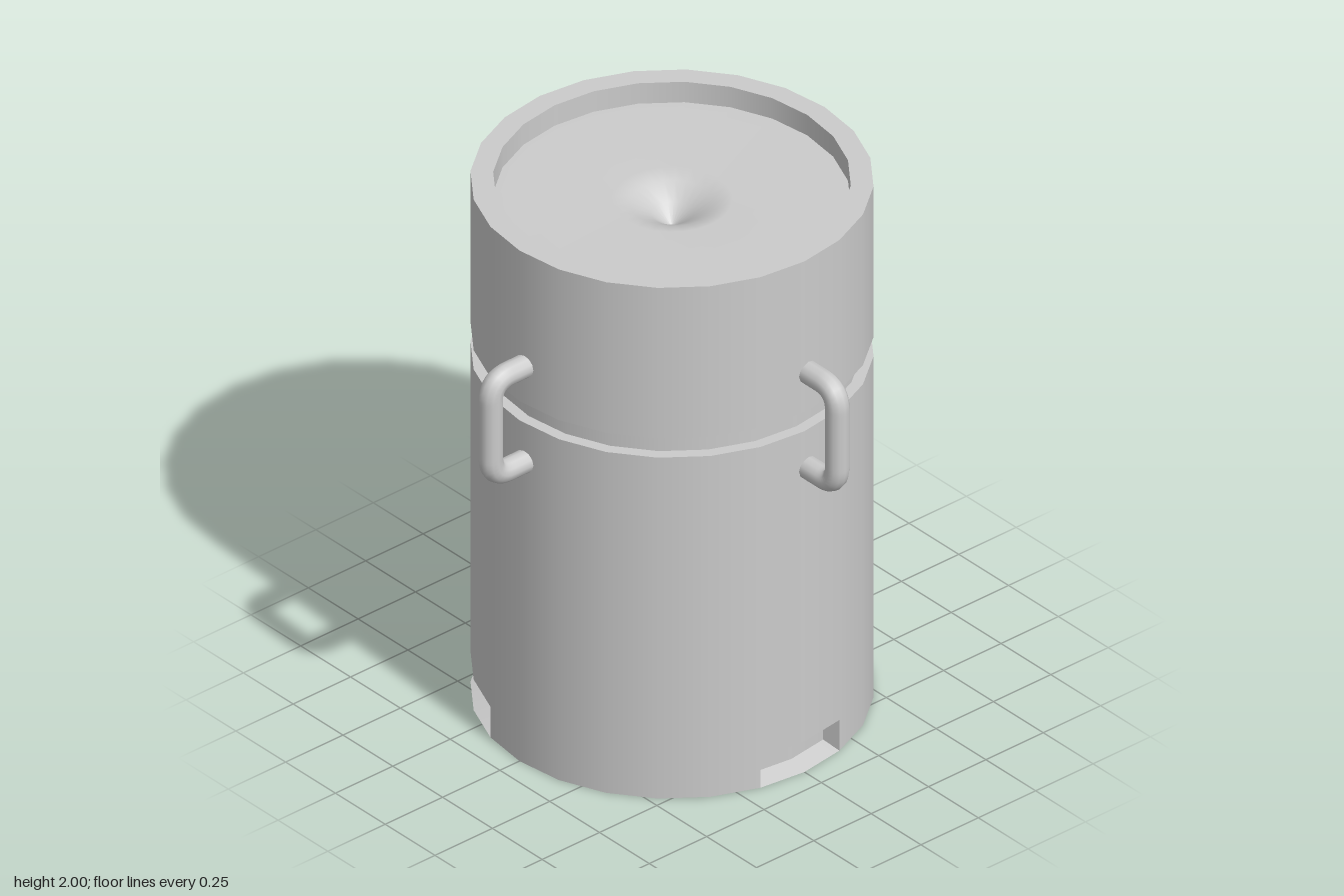
import * as THREE from 'three';
import { mergeGeometries } from 'three/addons/utils/BufferGeometryUtils.js';

const SIDES = 24;
const STEP = (Math.PI * 2) / SIDES;
const R = 0.665; // outer wall
const RIM = 0.59; // inside of the end rims
const NOTCH_R = 0.6;
const NOTCH_H = 0.12;

// Surface of revolution over some of the sides, smooth along the profile
function band(points, first = 0, count = SIDES) {
  const profile = points.map(([r, y]) => new THREE.Vector2(r, y));
  return new THREE.LatheGeometry(profile, count, first * STEP, count * STEP);
}

// Same, but with a sharp edge at every profile point
function sharpBands(points, first, count) {
  return points.slice(1).map((p, i) => band([points[i], p], first, count));
}

export function createModel() {
  const model = new THREE.Group();
  const material = new THREE.MeshStandardMaterial({ color: 0xcccccc });
  const thin = new THREE.MeshStandardMaterial({ color: 0xcccccc, side: THREE.DoubleSide });

  const add = (name, geometry, mat = material) => {
    const mesh = new THREE.Mesh(geometry, mat);
    mesh.name = name;
    model.add(mesh);
    return mesh;
  };

  // Main wall with its groove and the raised top rim
  add('body', mergeGeometries(sharpBands([
    [R, NOTCH_H], [R, 1.335], [0.625, 1.335], [0.625, 1.41],
    [R, 1.41], [R, 2], [RIM, 2], [RIM, 1.92],
  ])));
  add('bottomRim', mergeGeometries(sharpBands([[RIM, 0.08], [RIM, 0], [R, 0]])));

  // Recessed end plates, each with a dimple in the middle
  const dimple = [[RIM, 0], [0.2, 0], [0.14, 0.015], [0.07, 0.055], [0.001, 0.11]];
  add('topPlate', band(dimple.map(([r, d]) => [r, 1.92 - d])));
  add('bottomPlate', band(dimple.map(([r, d]) => [r, 0.08 + d]).reverse()));

  // Foot of the wall: three bevelled notches with plain wall between, [first side, count]
  const notchProfile = [[R, 0], [NOTCH_R, 0.02], [NOTCH_R, 0.1], [R, NOTCH_H]];
  const cheek = new THREE.ShapeGeometry(
    new THREE.Shape(notchProfile.map(([r, y]) => new THREE.Vector2(r, y))));
  const notches = [[-1, 2], [7, 3], [14, 3]];
  notches.forEach(([first, count], i) => {
    add('notch', mergeGeometries(sharpBands(notchProfile, first, count)));
    for (const side of [first, first + count]) {
      add('notchCheek', cheek, thin).rotation.y = side * STEP - Math.PI / 2;
    }
    const end = first + count;
    const next = i < 2 ? notches[i + 1][0] : notches[0][0] + SIDES;
    add('footWall', band([[R, 0], [R, NOTCH_H]], end, next - end));
  });

  // Four bent-tube handles around the groove
  const v = (x, y) => new THREE.Vector3(x, y, 0);
  const [out, low, high, bend] = [0.807, 1.183, 1.556, 0.075];
  const path = new THREE.CurvePath();
  path.add(new THREE.LineCurve3(v(0.62, low), v(out - bend, low)));
  path.add(new THREE.QuadraticBezierCurve3(v(out - bend, low), v(out, low), v(out, low + bend)));
  path.add(new THREE.LineCurve3(v(out, low + bend), v(out, high - bend)));
  path.add(new THREE.QuadraticBezierCurve3(v(out, high - bend), v(out, high), v(out - bend, high)));
  path.add(new THREE.LineCurve3(v(out - bend, high), v(0.62, high)));
  const tube = new THREE.TubeGeometry(path, 48, 0.041, 12);
  ['leftHandle', 'backHandle', 'rightHandle', 'frontHandle'].forEach((name, i) => {
    const handle = add(name, tube);
    handle.rotation.y = (i * Math.PI) / 2;
    handle.position.set(i % 2 ? 0.02 : 0, 0, i % 2 ? 0 : 0.02);
  });

  return model;
}
